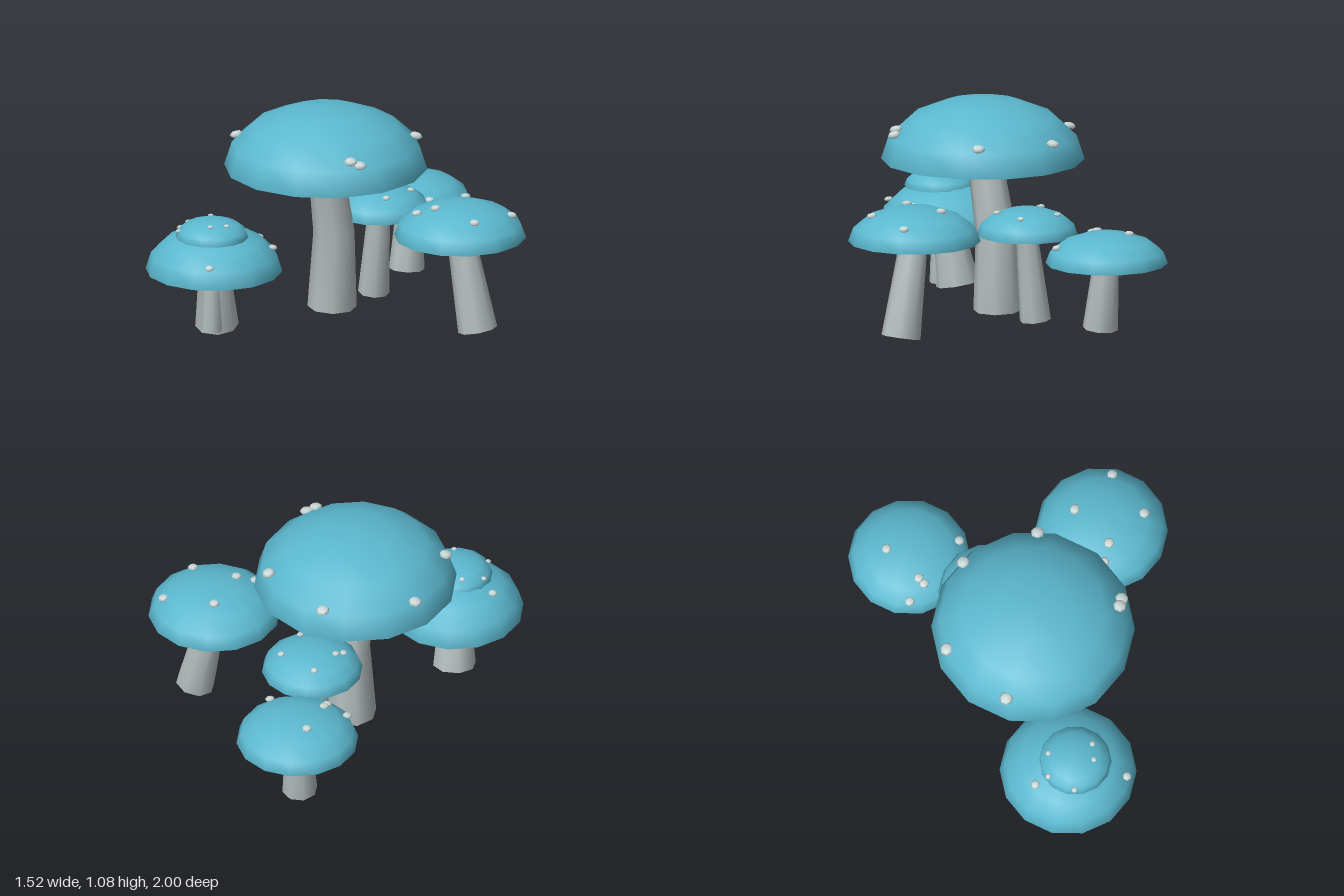
import * as THREE from 'three';
import { mergeVertices, toCreasedNormals } from 'three/addons/utils/BufferGeometryUtils.js';

const SIDES = 14;

// rim: [x, y, z] centre of the cap's lower edge; r: radius; h: dome height
// stem: [x, y, z, radius] from bottom to top; spots: [x, z] on the dome
const MUSHROOMS = [
  { name: 'tallMushroom', rim: [-0.208, 0.78, 0.09], r: 0.504, h: 0.31, spot: 0.034,
    stem: [[-0.24, 0.025, 0.01, 0.122], [-0.228, 0.42, 0.01, 0.102], [-0.215, 0.775, 0.083, 0.088]],
    spots: [[-0.30, -0.355], [0.085, -0.25], [-0.645, -0.045], [-0.575, 0.345], [0.165, 0.31], [0.2, 0.28]] },
  { name: 'sideMushroom', rim: [0.44, 0.497, -0.19], r: 0.328, h: 0.175, spot: 0.027,
    stem: [[0.54, 0.026, -0.21, 0.098], [0.445, 0.492, -0.19, 0.07]],
    spots: [[0.365, -0.31], [0.635, -0.355], [0.63, -0.09], [0.39, -0.065], [0.315, -0.01]] },
  { name: 'frontMushroom', rim: [-0.432, 0.33, 0.66], r: 0.339, h: 0.22, spot: 0.023,
    stem: [[-0.457, 0.025, 0.612, 0.108], [-0.43, 0.325, 0.66, 0.078]],
    spots: [[-0.645, 0.67], [-0.245, 0.895], [-0.22, 0.46], [-0.4, 0.365]] },
  { name: 'frontSmallMushroom', rim: [-0.415, 0.515, 0.693], r: 0.181, h: 0.092, spot: 0.015,
    stem: [[-0.415, 0.025, 0.695, 0.055], [-0.415, 0.51, 0.69, 0.04]],
    spots: [[-0.52, 0.825], [-0.58, 0.69], [-0.51, 0.6], [-0.31, 0.7], [-0.355, 0.77]] },
  { name: 'backMushroom', rim: [-0.37, 0.365, -0.698], r: 0.303, h: 0.155, spot: 0.025,
    stem: [[-0.36, 0.028, -0.66, 0.088], [-0.37, 0.36, -0.692, 0.065]],
    spots: [[-0.465, -0.76], [-0.14, -0.59], [-0.43, -0.545], [-0.425, -0.51], [-0.53, -0.49]] },
  { name: 'middleMushroom', rim: [-0.194, 0.465, -0.285], r: 0.25, h: 0.133, spot: 0.019,
    stem: [[-0.24, 0.025, -0.292, 0.078], [-0.194, 0.46, -0.28, 0.055]],
    spots: [[-0.285, -0.41], [-0.075, -0.385], [-0.33, -0.21], [-0.31, -0.25], [-0.07, -0.2]] },
];

// Tapered stem: cylinder rows moved onto the given centres, tilted to the path
function stemGeometry(rows) {
  const n = rows.length - 1;
  const g = new THREE.CylinderGeometry(1, 1, 1, 8, n);
  const p = g.attributes.position;
  const centres = rows.map(([x, y, z]) => new THREE.Vector3(x, y, z));
  const up = new THREE.Vector3(0, 1, 0);
  const tilts = centres.map((_, i) => {
    const dir = centres[Math.min(i + 1, n)].clone().sub(centres[Math.max(i - 1, 0)]).normalize();
    return new THREE.Quaternion().setFromUnitVectors(up, dir);
  });
  const v = new THREE.Vector3();
  for (let i = 0; i < p.count; i++) {
    const row = Math.round((p.getY(i) + 0.5) * n);
    v.set(p.getX(i), 0, p.getZ(i)).multiplyScalar(rows[row][3]);
    v.applyQuaternion(tilts[row]).add(centres[row]);
    p.setXYZ(i, v.x, v.y, v.z);
  }
  g.deleteAttribute('uv');
  g.deleteAttribute('normal');
  return toCreasedNormals(mergeVertices(g), 0.9);
}

export function createModel() {
  const capMat = new THREE.MeshStandardMaterial({ name: 'capTeal', color: 0x5bb8cf });
  const stemMat = new THREE.MeshStandardMaterial({ name: 'stemGrey', color: 0xb2bbbb });
  const spotMat = new THREE.MeshStandardMaterial({ name: 'spotPale', color: 0xcbd9d9 });

  const model = new THREE.Group();
  model.name = 'mushroomCluster';

  for (const m of MUSHROOMS) {
    const group = new THREE.Group();
    group.name = m.name;
    const add = (name, geometry, material) => {
      const mesh = new THREE.Mesh(geometry, material);
      mesh.name = name;
      group.add(mesh);
      return mesh;
    };

    // Stem
    add('stem', stemGeometry(m.stem), stemMat);

    // Domed cap and its flat underside
    const dome = new THREE.SphereGeometry(m.r, SIDES, 4, 0, Math.PI * 2, 0, Math.PI / 2)
      .rotateY(Math.PI / 2).scale(1, m.h / m.r, 1);
    add('cap', dome, capMat).position.set(...m.rim);
    const disc = new THREE.CircleGeometry(m.r, SIDES).rotateX(Math.PI / 2).rotateY(Math.PI / 2);
    add('capUnderside', disc, stemMat).position.set(...m.rim);

    // Flattened spots resting on the dome
    const spotGeo = new THREE.SphereGeometry(m.spot, 7, 4).scale(1, 0.5, 1);
    for (const [x, z] of m.spots) {
      const d = Math.min(1, Math.hypot(x - m.rim[0], z - m.rim[2]) / m.r);
      const y = m.rim[1] + m.h * Math.sqrt(1 - d * d);
      const spot = add('spot', spotGeo, spotMat);
      spot.position.set(x, y + 0.003, z);
      spot.rotation.set((z - m.rim[2]) / m.r * 0.25, 0, -(x - m.rim[0]) / m.r * 0.25);
    }
    model.add(group);
  }
  return model;
}
